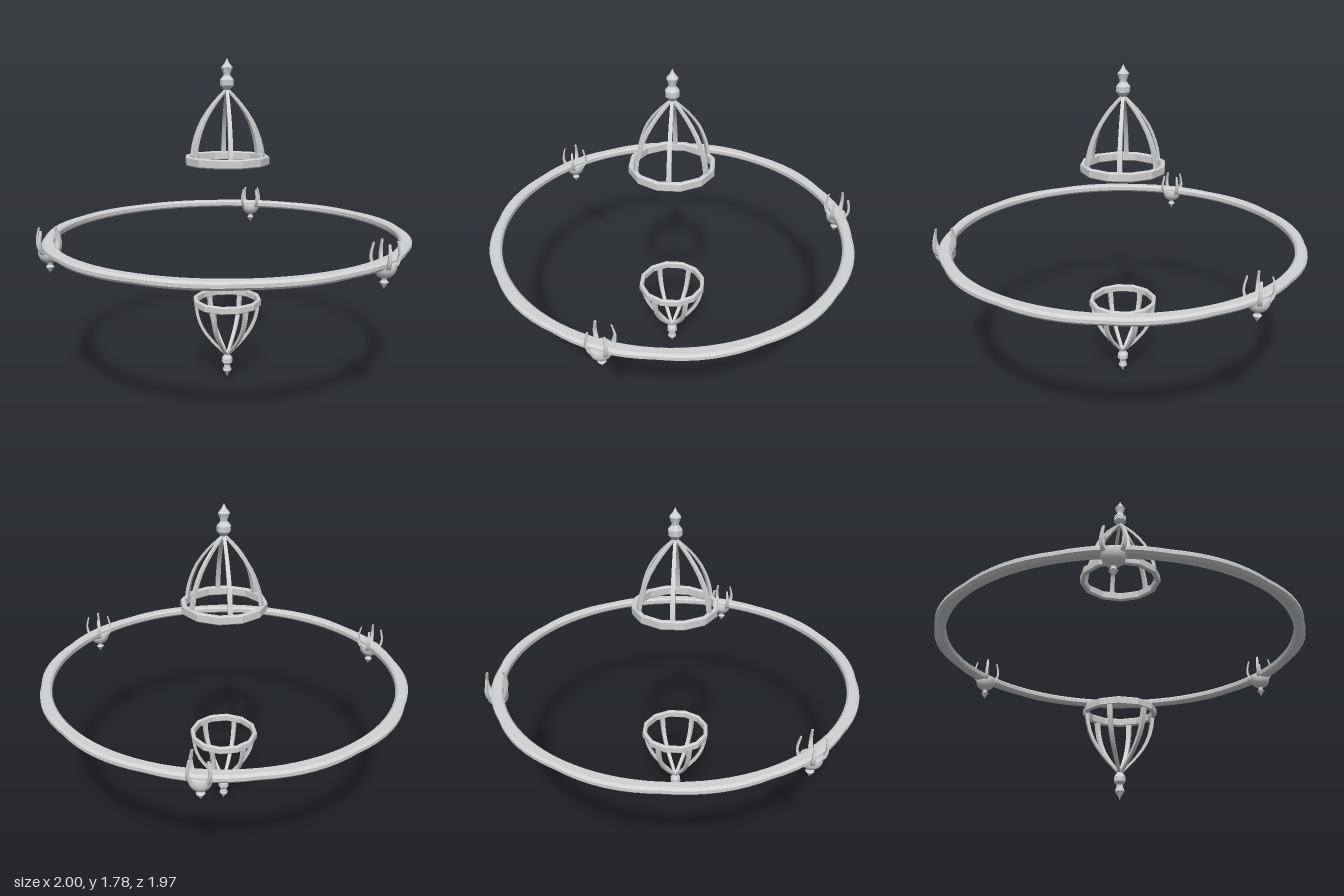
import * as THREE from 'three';
import { toCreasedNormals } from 'three/addons/utils/BufferGeometryUtils.js';

const metal = new THREE.MeshStandardMaterial({ color: 0xd2d2d2 });
metal.name = 'light grey metal';

const V2 = (p) => new THREE.Vector2(p[0], p[1]);

function part(name, geometry, crease = 0.5) {
  const mesh = new THREE.Mesh(toCreasedNormals(geometry, crease), metal);
  mesh.name = name;
  return mesh;
}

// Skin a list of equal-sized cross-section loops, closed on itself or capped
function loft(loops, closed) {
  const n = loops[0].length, m = loops.length;
  const index = [];
  for (let i = 0; i < (closed ? m : m - 1); i++) {
    for (let j = 0; j < n; j++) {
      const k = (j + 1) % n, i2 = (i + 1) % m;
      const a = i * n + j, b = i * n + k, c = i2 * n + k, d = i2 * n + j;
      index.push(a, d, c, a, c, b);
    }
  }
  if (!closed) {
    const e = (m - 1) * n;
    for (let j = 1; j < n - 1; j++) index.push(0, j, j + 1, e, e + j + 1, e + j);
  }
  const g = new THREE.BufferGeometry();
  g.setAttribute('position', new THREE.Float32BufferAttribute(loops.flat(2), 3));
  g.setIndex(index);
  return g;
}

// Tapered rectangular bar following a curve in the (radius, height) plane
function barGeometry(points, steps, width, thick, taper) {
  const curve = new THREE.SplineCurve(points.map(V2));
  const loops = [];
  for (let i = 0; i <= steps; i++) {
    const u = i / steps;
    const p = curve.getPoint(u), t = curve.getTangent(u);
    const s = 1 + (taper - 1) * u, w = width * s / 2, h = thick * s / 2;
    loops.push([[1, 1], [-1, 1], [-1, -1], [1, -1]].map(([a, b]) =>
      [p.x + t.y * h * a, p.y - t.x * h * a, w * b]));
  }
  return loft(loops, false);
}

// Twelve-sided hoop with chamfered edges
function hoopGeometry(inner, outer, low, high) {
  const c = 0.006;
  const profile = [
    [inner + c, low], [outer - c, low], [outer, low + c], [outer, high - c],
    [outer - c, high], [inner + c, high], [inner, high - c], [inner, low + c], [inner + c, low],
  ];
  return new THREE.LatheGeometry(profile.map(V2), 12);
}

// Cage half: hoop, six curved ribs and a pointed finial
function cage(name, hoop, ribPath, ribStart, finialProfile) {
  const g = new THREE.Group();
  g.name = name;
  g.add(part('hoop', hoopGeometry(...hoop), 0.4));
  const rib = barGeometry(ribPath, 10, 0.027, 0.018, 0.55);
  for (let i = 0; i < 6; i++) {
    const mesh = part('rib', rib);
    mesh.rotation.y = ribStart + i * Math.PI / 3;
    g.add(mesh);
  }
  g.add(part('finial', new THREE.LatheGeometry(finialProfile.map(V2), 8), 0.4));
  return g;
}

// Large flat ring with a smooth inside and a gently scalloped outside
function ringGeometry() {
  const loops = [], segments = 96;
  for (let i = 0; i < segments; i++) {
    const t = i / segments * Math.PI * 2;
    const outer = 0.976 + 0.009 * Math.abs(Math.cos(6 * t));
    const section = [
      [outer, 0.848], [outer, 0.831], [outer - 0.012, 0.818], [0.93, 0.818],
      [0.92, 0.829], [0.92, 0.85], [0.93, 0.859], [outer - 0.012, 0.859],
    ];
    loops.push(section.map(([r, y]) => [r * Math.cos(t), y, r * Math.sin(t)]));
  }
  return loft(loops, true);
}

// Round cup with a hanging point and four upright claws
function clawSetting() {
  const g = new THREE.Group();
  g.name = 'clawSetting';
  const bowl = [];
  for (let i = 0; i <= 8; i++) {
    const a = -Math.PI / 2 + i / 8 * (Math.PI / 2 + 0.3);
    bowl.push([Math.max(0, 0.056 * Math.cos(a)), 0.822 + 0.056 * Math.sin(a)]);
  }
  bowl.push([0, 0.842]);
  g.add(part('cup', new THREE.LatheGeometry(bowl.map(V2), 16), 0.7));
  const point = [[0, 0.715], [0.022, 0.747], [0.012, 0.758], [0.014, 0.775]];
  g.add(part('cupPoint', new THREE.LatheGeometry(point.map(V2), 8), 0.4));
  const claw = barGeometry(
    [[0.04, 0.815], [0.06, 0.838], [0.069, 0.87], [0.067, 0.9], [0.057, 0.942]], 8, 0.024, 0.016, 0.45);
  for (let i = 0; i < 4; i++) {
    const mesh = part('claw', claw);
    mesh.rotation.y = Math.PI / 4 + i * Math.PI / 2;
    g.add(mesh);
  }
  return g;
}

export function createModel() {
  const model = new THREE.Group();
  model.name = 'ringAndCage';
  const body = new THREE.Group();
  body.name = 'body';
  body.position.x = -0.015;
  model.add(body);

  body.add(part('ring', ringGeometry(), 0.5));

  // Settings spaced evenly round the ring
  for (let i = 0; i < 3; i++) {
    const arm = new THREE.Group();
    arm.name = 'settingMount';
    const setting = clawSetting();
    setting.position.x = 0.953;
    arm.add(setting);
    arm.rotation.y = i * Math.PI * 2 / 3;
    body.add(arm);
  }

  // Upper dome
  body.add(cage('upperCage', [0.202, 0.228, 1.224, 1.272],
    [[0.207, 1.25], [0.2, 1.31], [0.18, 1.38], [0.146, 1.455], [0.092, 1.53], [0.04, 1.585], [0.008, 1.615]],
    Math.PI / 12,
    [[0, 1.6], [0.014, 1.615], [0.036, 1.64], [0.037, 1.668], [0.019, 1.69], [0.019, 1.7],
      [0.031, 1.732], [0.012, 1.755], [0, 1.78]]));

  // Lower basket
  body.add(cage('lowerCage', [0.168, 0.191, 0.436, 0.478],
    [[0.174, 0.455], [0.17, 0.4], [0.152, 0.33], [0.118, 0.265], [0.07, 0.205], [0.03, 0.163], [0.007, 0.138]],
    Math.PI / 4,
    [[0, 0.003], [0.01, 0.024], [0.026, 0.045], [0.017, 0.07], [0.017, 0.077],
      [0.031, 0.093], [0.03, 0.117], [0.013, 0.143], [0, 0.155]]));
  return model;
}
